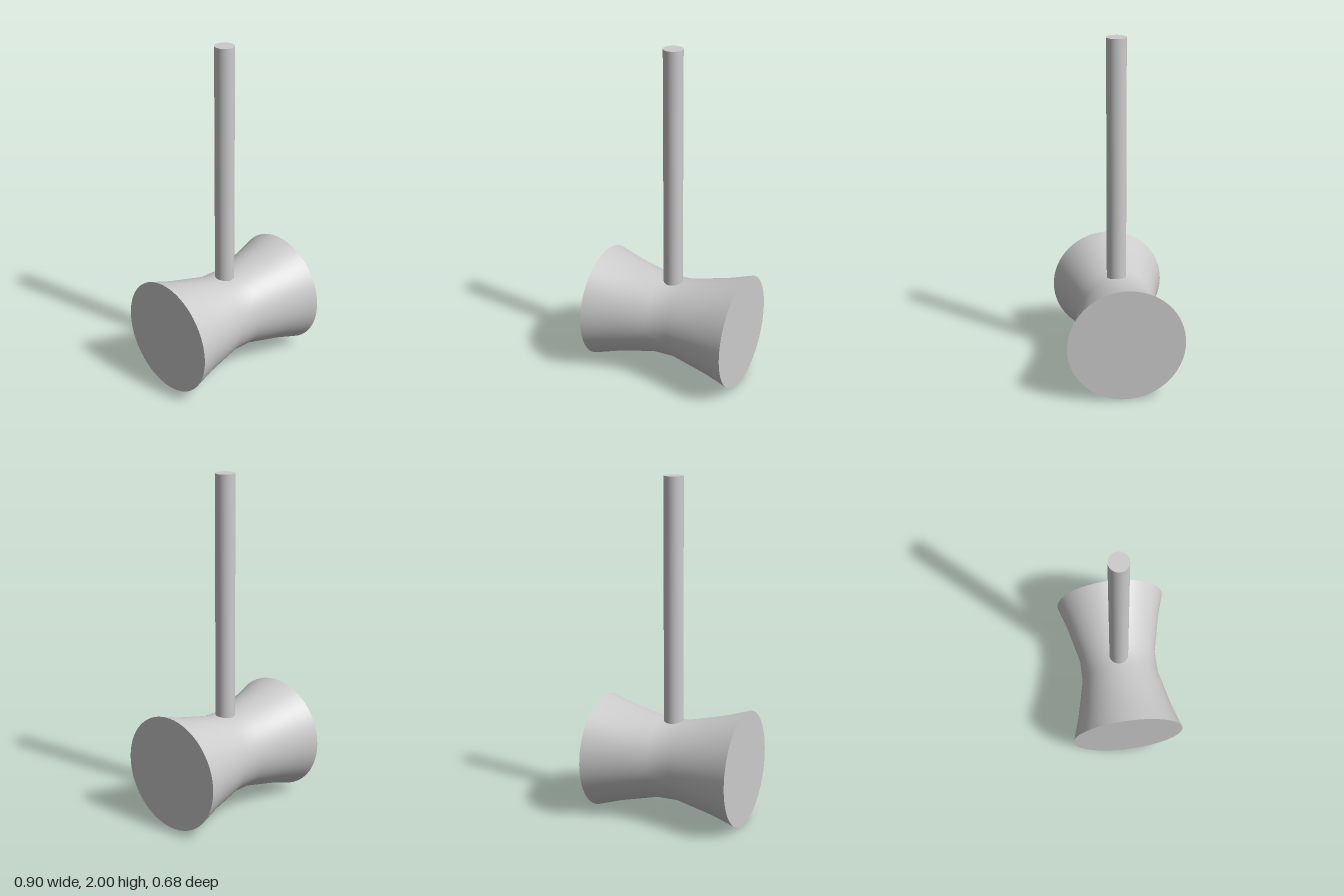
import * as THREE from 'three';

export function createModel() {
  const group = new THREE.Group();
  const material = new THREE.MeshStandardMaterial({ color: 0xcccccc });
  const sides = 64, halfLength = 0.45, endRadius = 0.338;

  // Waisted mallet head, turned about the x axis
  const half = [[0.07, 0.238], [0.305, 0.293], [halfLength, endRadius]];
  const profile = [
    ...half.map(([x, r]) => new THREE.Vector2(r, -x)).reverse(),
    ...half.map(([x, r]) => new THREE.Vector2(r, x)),
  ];
  const head = new THREE.Group();
  head.name = 'head';
  head.position.y = endRadius;
  const barrel = new THREE.Mesh(new THREE.LatheGeometry(profile, sides), material);
  barrel.name = 'headBarrel';
  barrel.rotation.z = -Math.PI / 2;
  head.add(barrel);

  // Flat striking faces
  for (const side of [1, -1]) {
    const face = new THREE.Mesh(new THREE.CircleGeometry(endRadius, sides), material);
    face.name = side > 0 ? 'leftStrikingFace' : 'rightStrikingFace';
    face.position.x = side * halfLength;
    face.rotation.y = side * Math.PI / 2;
    head.add(face);
  }
  group.add(head);

  // Straight round handle, its foot set into the head
  const foot = 0.5, top = 2;
  const handle = new THREE.Mesh(new THREE.CylinderGeometry(0.057, 0.057, top - foot, 48), material);
  handle.name = 'handle';
  handle.position.y = (foot + top) / 2;
  group.add(handle);

  return group;
}
